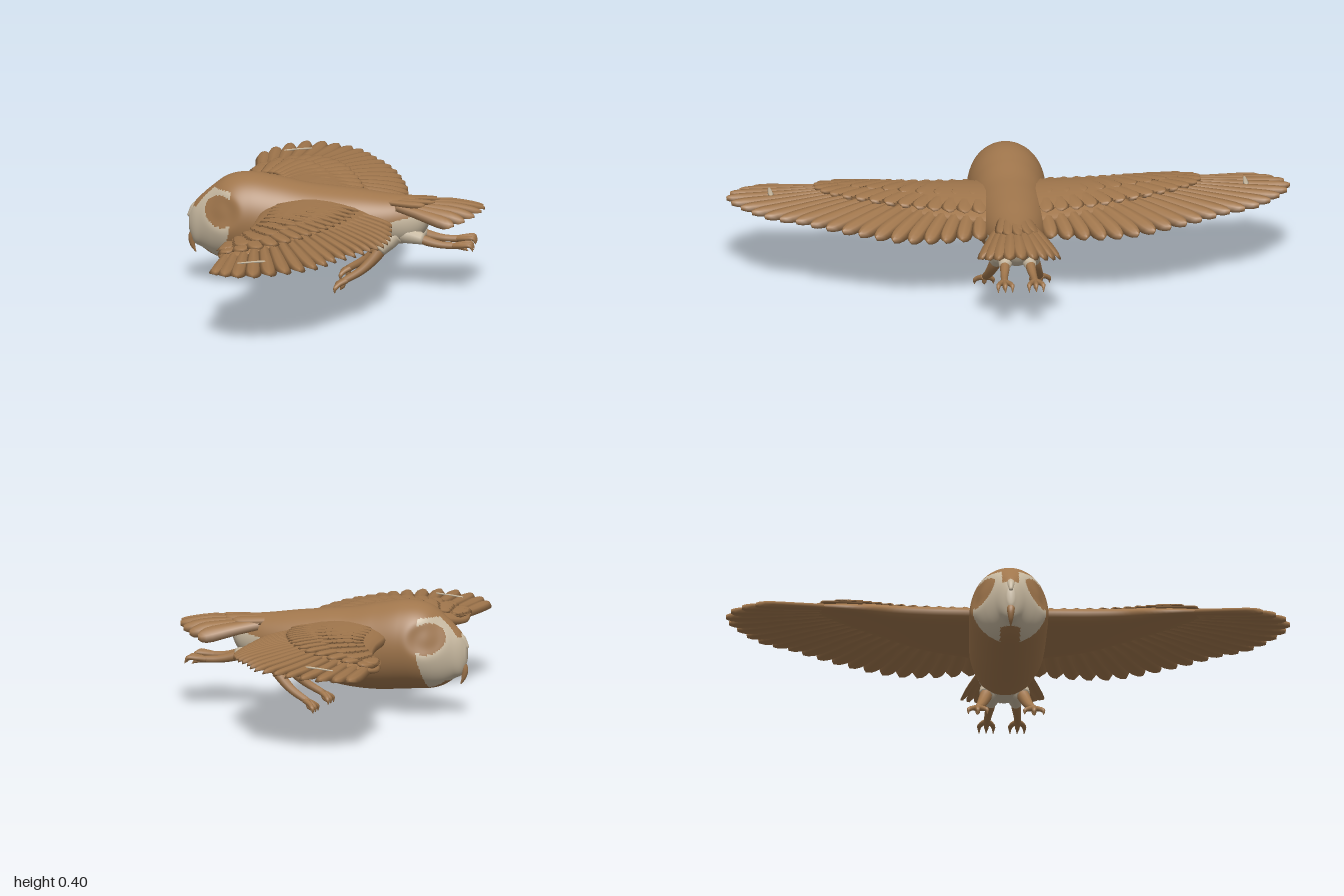
import * as THREE from 'three';
import { mergeGeometries } from 'three/addons/utils/BufferGeometryUtils.js';

const mat = (name, color) => Object.assign(new THREE.MeshStandardMaterial({ color }), { name });
const V = (x, y, z) => new THREE.Vector3(x, y, z);

// Closed skin over equal rings of points; pick(centre) may send a face to material 1.
function loft(rings, pick) {
  const n = rings[0].length, last = rings.length - 1;
  const pts = rings.flat();
  const centre = r => r.reduce((s, p) => s.add(p), V(0, 0, 0)).divideScalar(n);
  const c0 = pts.push(centre(rings[0])) - 1, c1 = pts.push(centre(rings[last])) - 1;
  const idx = [[], []];
  const list = p => idx[pick && pick(p) ? 1 : 0];
  for (let i = 0; i < last; i++) for (let j = 0; j < n; j++) {
    const k = (j + 1) % n, a = i * n + j, b = a + n, d = i * n + k, c = d + n;
    list(pts[a].clone().add(pts[c]).multiplyScalar(0.5)).push(a, d, c, a, c, b);
  }
  for (let j = 0; j < n; j++) {
    const k = (j + 1) % n, e = last * n;
    list(pts[c0]).push(c0, k, j);
    list(pts[c1]).push(c1, e + j, e + k);
  }
  const g = new THREE.BufferGeometry().setFromPoints(pts);
  g.setIndex([...idx[0], ...idx[1]]);
  if (pick) {
    g.addGroup(0, idx[0].length, 0);
    g.addGroup(idx[0].length, idx[1].length, 1);
  }
  g.computeVertexNormals();
  return g;
}

// Mirror across the body's long axis, keeping faces outward.
function mirror(geo) {
  const g = geo.clone();
  g.scale(1, 1, -1);
  const a = g.index.array;
  for (let i = 0; i < a.length; i += 3) [a[i], a[i + 1]] = [a[i + 1], a[i]];
  g.computeVertexNormals();
  return g;
}

// Smooth lookup in a table whose first column is the key.
function table(rows) {
  const f = new THREE.CubicInterpolant(rows.map(r => r[0]), rows.flatMap(r => r.slice(1)), rows[0].length - 1);
  return t => Array.from(f.evaluate(t));
}

// Tapered round limb through points [x, y, z, radius].
function limb(points) {
  const curve = new THREE.CatmullRomCurve3(points.map(p => V(p[0], p[1], p[2])));
  const rings = [], N = points.length * 4;
  for (let i = 0; i <= N; i++) {
    const u = i / N, f = u * (points.length - 1), k = Math.min(Math.floor(f), points.length - 2);
    const r = THREE.MathUtils.lerp(points[k][3], points[k + 1][3], f - k);
    const p = curve.getPoint(u), t = curve.getTangent(u);
    const s = V(0, 0, 1).addScaledVector(t, -t.z).normalize(), up = s.clone().cross(t);
    rings.push(Array.from({ length: 10 }, (_, j) => {
      const a = j / 10 * Math.PI * 2;
      return p.clone().addScaledVector(up, r * Math.cos(a)).addScaledVector(s, r * Math.sin(a));
    }));
  }
  return loft(rings);
}

// Domed feather from root to tip, following a height rule.
function feather(root, tip, width, thick, height, lift, tilt = 0.004) {
  const dx = tip.x - root.x, dz = tip.z - root.z, len = Math.hypot(dx, dz);
  const sx = -dz / len, sz = dx / len;
  const section = [[0, 1], [0.6, 0.7], [1, -0.5], [0, -0.6], [-1, -0.5], [-0.6, 0.7]];
  return loft([0, 0.25, 0.5, 0.7, 0.82, 0.9, 0.96, 1].map(u => {
    const round = u < 0.82 ? 1 : Math.sqrt(Math.max(0.02, 1 - ((u - 0.82) / 0.18) ** 2));
    const w = width / 2 * (0.55 + 0.45 * Math.min(1, u * 1.6)) * round;
    return section.map(([k, h]) => {
      const x = root.x + dx * u + sx * k * w, z = root.z + dz * u + sz * k * w;
      return V(x, height(x, z) + lift + h * thick * (0.4 + 0.6 * round) + k * tilt, z);
    });
  }));
}

// A row of feathers spread between a line of roots and a line of tips.
function featherRow(roots, tips, count, width, thick, height, lift) {
  const line = p => new THREE.CatmullRomCurve3(p.map(([x, z]) => V(x, 0, z)));
  const a = line(roots), b = line(tips);
  return mergeGeometries(Array.from({ length: count }, (_, i) => {
    const u = i / (count - 1);
    return feather(a.getPointAt(u), b.getPointAt(u), width, thick, height, lift);
  }));
}

// Cambered wing surface, lower and flatter towards the tip.
function wingY(x, z) {
  const d = x + 0.08, y = 0.305 - (d < 0 ? 0.8 : 0.6) * d * d;
  return THREE.MathUtils.lerp(y, 0.262, 0.6 * THREE.MathUtils.smoothstep(z, 0.42, 0.95));
}

export function createModel() {
  const brown = mat('brown plumage', 0xa0764c), pale = mat('pale plumage', 0xc8b9a0);
  const model = new THREE.Group();
  model.name = 'owl';
  const add = (name, geo, material) => {
    const m = new THREE.Mesh(geo, material);
    m.name = name;
    model.add(m);
  };
  const pair = (name, geo, material = brown) => {
    add(name + 'Left', geo, material);
    add(name + 'Right', mirror(geo), material);
  };

  // Body and head: x, bottom, top, half width
  const body = table([
    [-0.525, 0.19, 0.25, 0.012], [-0.51, 0.15, 0.285, 0.032], [-0.48, 0.13, 0.32, 0.058],
    [-0.44, 0.105, 0.355, 0.093], [-0.4, 0.093, 0.385, 0.122], [-0.36, 0.09, 0.4, 0.136],
    [-0.3, 0.086, 0.405, 0.14], [-0.2, 0.08, 0.39, 0.138], [-0.1, 0.086, 0.37, 0.135],
    [0, 0.105, 0.36, 0.13], [0.1, 0.13, 0.35, 0.115], [0.2, 0.155, 0.337, 0.093],
    [0.28, 0.172, 0.33, 0.066], [0.32, 0.21, 0.328, 0.05], [0.345, 0.27, 0.32, 0.03]]);
  const eye = (x, y) => Math.hypot((x + 0.405) / 0.058, (y - 0.281) / 0.055);
  const isPale = ({ x, y, z }) => {
    const face = x < -0.368 - 0.2 * Math.max(0, 0.24 - y) && y < 0.354
      && eye(x, y) > 1 && !(y > 0.28 && Math.abs(z) < 0.03)
      && !(y < 0.125 && Math.abs(z) < 0.035 && x > -0.47);
    const vent = x > 0.15 - 0.12 * (y - 0.13) && y < 0.255 + 0.2 * Math.max(0, x - 0.2);
    return face || vent;
  };
  const rings = [];
  for (let i = 0; i <= 240; i++) {
    const x = -0.525 + 0.87 * i / 240, [lo, hi, w] = body(x);
    rings.push(Array.from({ length: 120 }, (_, j) => {
      const a = j / 120 * Math.PI * 2, y = (lo + hi) / 2 + (hi - lo) / 2 * Math.cos(a);
      // Shallow hollow around each eye
      const dent = 1 - 0.12 * Math.exp(-(eye(x, y) ** 4));
      return V(x, y, w * Math.sin(a) * dent);
    }));
  }
  add('body', loft(rings, isPale), [brown, pale]);

  // Beak and the bristly ridge above it
  add('beak', limb([[-0.49, 0.2, 0, 0.02], [-0.515, 0.165, 0, 0.014], [-0.513, 0.135, 0, 0.009], [-0.502, 0.11, 0, 0.002]]), brown);
  add('faceRidge', limb([[-0.47, 0.3, 0, 0.016], [-0.505, 0.272, 0, 0.016], [-0.528, 0.24, 0, 0.006]]), pale);

  // Wing arm, full below: z, leading x, trailing x, height above and depth below the surface
  const arm = table([[0.05, -0.25, 0.14, 0.03, 0.062], [0.15, -0.265, 0.12, 0.032, 0.066], [0.3, -0.275, 0.08, 0.03, 0.064],
    [0.42, -0.3, 0.02, 0.027, 0.056], [0.5, -0.345, -0.03, 0.024, 0.046], [0.58, -0.365, -0.09, 0.02, 0.034],
    [0.65, -0.352, -0.17, 0.014, 0.022], [0.7, -0.33, -0.25, 0.006, 0.009]]);
  const armRings = [];
  for (let i = 0; i <= 32; i++) {
    const z = 0.05 + 0.65 * i / 32, [front, back, above, below] = arm(z);
    armRings.push(Array.from({ length: 24 }, (_, j) => {
      const a = j / 24 * Math.PI * 2, s = Math.sin(a), c = Math.cos(a);
      const x = (front + back) / 2 - (back - front) / 2 * s;
      return V(x, wingY(x, z) + c * (c > 0 ? above : below) * (0.85 + 0.25 * s), z);
    }));
  }
  pair('wingArm', loft(armRings));

  // Flight feathers and two rows of coverts
  pair('flightFeathers', featherRow(
    [[-0.325, 0.57], [-0.27, 0.59], [-0.19, 0.55], [-0.12, 0.45], [-0.06, 0.3], [-0.03, 0.1]],
    [[-0.345, 0.9], [-0.29, 0.965], [-0.22, 1], [-0.16, 0.995], [-0.1, 0.965], [-0.03, 0.915], [0.02, 0.86],
      [0.06, 0.78], [0.11, 0.7], [0.15, 0.62], [0.18, 0.54], [0.205, 0.46], [0.22, 0.36], [0.22, 0.25], [0.21, 0.13]],
    21, 0.06, 0.014, wingY, -0.004));
  pair('greaterCoverts', featherRow(
    [[-0.335, 0.52], [-0.28, 0.52], [-0.2, 0.45], [-0.13, 0.33], [-0.1, 0.1]],
    [[-0.325, 0.67], [-0.24, 0.69], [-0.13, 0.65], [-0.03, 0.52], [0.03, 0.38], [0.07, 0.25], [0.09, 0.12]],
    15, 0.068, 0.008, wingY, 0.014));
  pair('lesserCoverts', featherRow(
    [[-0.335, 0.52], [-0.3, 0.48], [-0.25, 0.4], [-0.22, 0.28], [-0.21, 0.1]],
    [[-0.335, 0.62], [-0.26, 0.63], [-0.17, 0.56], [-0.1, 0.44], [-0.05, 0.3], [-0.03, 0.13]],
    11, 0.07, 0.006, wingY, 0.02));

  // Small pale fleck across the primaries
  pair('wingFleck', feather(V(-0.27, 0, 0.845), V(-0.17, 0, 0.845), 0.02, 0.003, wingY, 0.0095, 0), pale);

  // Tail fan, arched across
  const tailY = (x, z) => 0.318 - 0.15 * Math.max(0, x - 0.42) - 2.7 * z * z;
  add('tail', featherRow(
    [[0.16, -0.03], [0.16, 0], [0.16, 0.03]],
    [[0.43, -0.135], [0.48, -0.1], [0.515, -0.055], [0.528, 0], [0.515, 0.055], [0.48, 0.1], [0.43, 0.135]],
    9, 0.058, 0.013, tailY, -0.008), brown);
  add('tailCoverts', featherRow(
    [[0.1, -0.03], [0.1, 0], [0.1, 0.03]],
    [[0.32, -0.06], [0.36, -0.03], [0.37, 0], [0.36, 0.03], [0.32, 0.06]],
    5, 0.05, 0.008, tailY, 0.004), brown);

  // Pale feathered thighs
  pair('loweredThigh', limb([[0.21, 0.2, 0.045, 0.035], [0.185, 0.175, 0.056, 0.033], [0.158, 0.146, 0.067, 0.025]]), pale);
  pair('trailingThigh', limb([[0.21, 0.215, 0.03, 0.038], [0.26, 0.2, 0.037, 0.034], [0.315, 0.185, 0.046, 0.02]]), pale);

  // Lowered legs with clawed toes
  const lowered = [limb([[0.17, 0.16, 0.062, 0.024], [0.145, 0.124, 0.073, 0.021], [0.1, 0.079, 0.087, 0.016], [0.03, 0.036, 0.1, 0.012]])];
  for (const dz of [-0.032, 0, 0.032]) lowered.push(limb([
    [0.045, 0.042, 0.1, 0.011], [0.02, 0.03, 0.1 + dz * 0.6, 0.009],
    [0.008, 0.018, 0.1 + dz, 0.008], [0.006, 0.001, 0.1 + dz * 1.05, 0.001]]));
  lowered.push(limb([[0.035, 0.035, 0.1, 0.01], [0.03, 0.018, 0.1, 0.008], [0.022, 0.006, 0.1, 0.001]]));
  pair('loweredLeg', mergeGeometries(lowered));

  // Trailing legs with clawed toes
  const trailing = [limb([[0.3, 0.189, 0.044, 0.018], [0.33, 0.178, 0.047, 0.017], [0.38, 0.168, 0.052, 0.013], [0.44, 0.166, 0.055, 0.012]])];
  for (const dz of [-0.025, 0, 0.025]) trailing.push(limb([
    [0.42, 0.166, 0.055, 0.011], [0.455, 0.171, 0.055 + dz * 0.7, 0.009],
    [0.483, 0.172, 0.055 + dz, 0.008], [0.494, 0.152, 0.055 + dz, 0.001]]));
  trailing.push(limb([[0.435, 0.165, 0.055, 0.01], [0.46, 0.158, 0.055, 0.008], [0.475, 0.148, 0.055, 0.001]]));
  pair('trailingLeg', mergeGeometries(trailing));

  return model;
}
